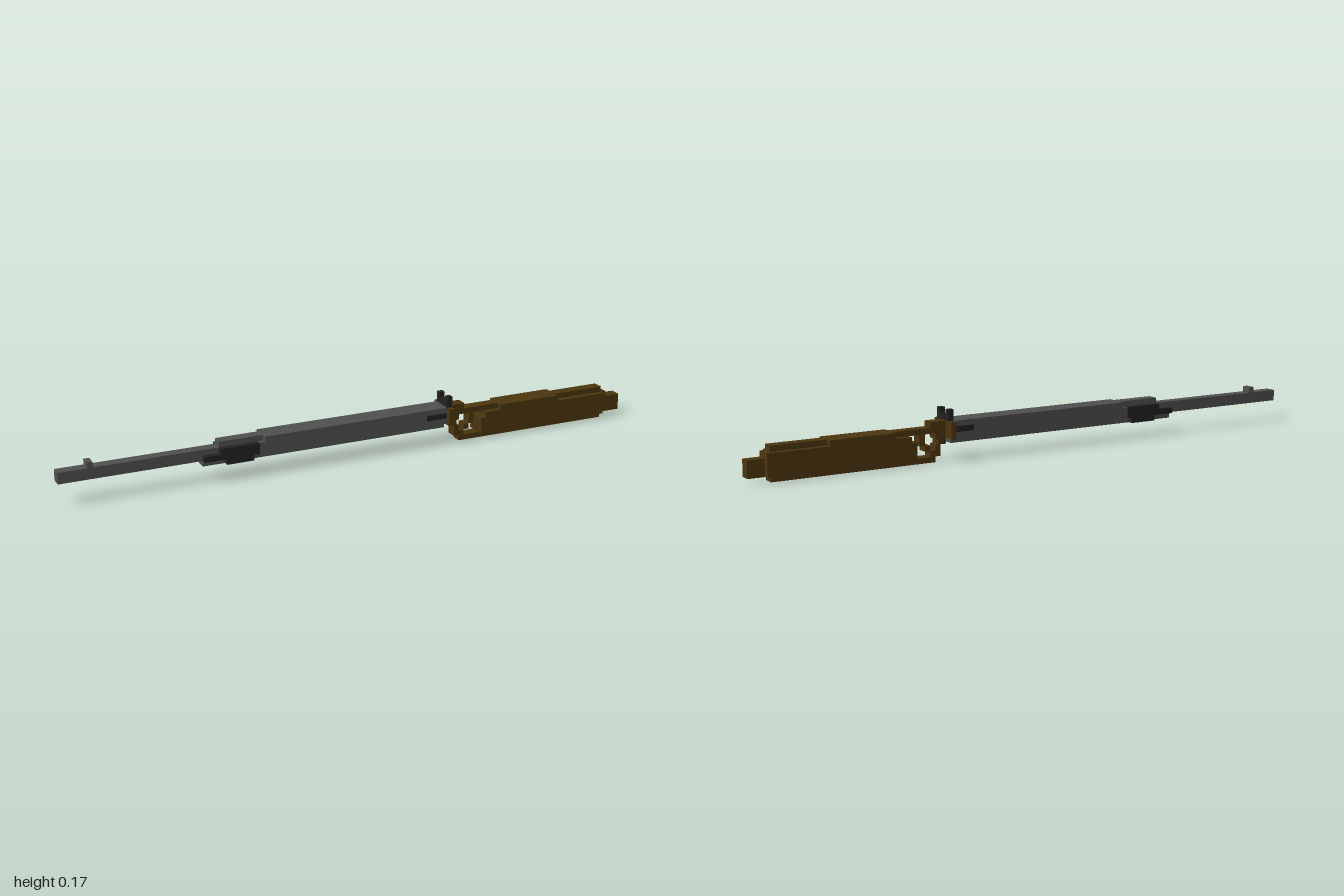
import * as THREE from 'three';

const U = 2 / 108; // one block

export function createModel() {
  const model = new THREE.Group();
  model.name = 'rifle';
  const material = (name, color) => {
    const m = new THREE.MeshStandardMaterial({ color });
    m.name = name;
    return m;
  };
  const steel = material('grey steel', 0x4f4f4f);
  const dark = material('dark steel', 0x222222);
  const wood = material('brown wood', 0x4c350f);

  // Box in block units: x counted from the muzzle, y from the ground, z from the middle
  function block(name, mat, x0, x1, y0, y1, z0, z1) {
    const mesh = new THREE.Mesh(
      new THREE.BoxGeometry((x1 - x0) * U, (y1 - y0) * U, (z1 - z0) * U), mat);
    mesh.position.set(((x0 + x1) / 2 - 54) * U, ((y0 + y1) / 2) * U, ((z0 + z1) / 2) * U);
    mesh.name = name;
    model.add(mesh);
  }
  const centred = (name, mat, x0, x1, y0, y1, half) =>
    block(name, mat, x0, x1, y0, y1, -half, half);
  // Matching outer layers on both sides
  function sides(name, mat, x0, x1, y0, y1) {
    block(name + 'Left', mat, x0, x1, y0, y1, 1, 2);
    block(name + 'Right', mat, x0, x1, y0, y1, -2, -1);
  }

  // Barrel and front sight
  centred('barrel', steel, 0, 28, 4, 6, 1);
  centred('frontSight', steel, 5, 6, 6, 7, 1);

  // Body: narrow core with wider side layers
  centred('bodyKeel', steel, 25, 28, 3, 4, 1);
  centred('bodyCore', steel, 28, 71, 3, 7, 1);
  sides('bodyTopSide', steel, 36, 71, 6, 7);
  sides('bodyUpperSide', steel, 35, 67, 5, 6);
  sides('bodyLowerSide', steel, 35, 71, 4, 5);

  // Dark side fittings
  sides('foreGripLower', dark, 25, 35, 4, 5);
  sides('foreGripUpper', dark, 28, 35, 5, 6);
  sides('foreGripBase', dark, 29, 34, 3, 4);
  sides('rearFitting', dark, 67, 71, 5, 6);

  // Rear sight
  centred('rearSightBase', dark, 71, 72, 7, 8, 2);
  sides('rearSightPost', dark, 71, 72, 8, 9);

  // Collar and wrist
  centred('collar', wood, 71, 72, 4, 7, 3);
  centred('wristTop', wood, 72, 75, 6, 7, 1);
  centred('wristRail', wood, 72, 82, 5, 6, 1);
  centred('wristBlock', wood, 72, 74, 4, 5, 1);

  // Trigger guard stepping down, and trigger
  centred('guardUpper', wood, 72, 73.5, 3, 4, 1);
  centred('guardMiddle', wood, 73, 74, 2, 3, 1);
  centred('guardLower', wood, 73, 75, 1, 2, 1);
  centred('trigger', wood, 76, 77, 3, 5, 1);
  centred('triggerTip', wood, 75, 76, 2, 3, 1);

  // Stock
  centred('stockKeel', wood, 74, 104, 0, 1, 1);
  centred('stockBody', wood, 78, 104, 1, 4, 2);
  centred('stockUpper', wood, 79, 104, 4, 5, 2);
  centred('stockRidge', wood, 82, 104, 5, 6, 1);
  sides('cheekRest', wood, 82, 94, 5, 6);

  // Butt
  block('buttStep', wood, 104, 105, 1, 5, -2, 1);
  centred('buttEnd', wood, 105, 108, 1, 4, 1);

  return model;
}
